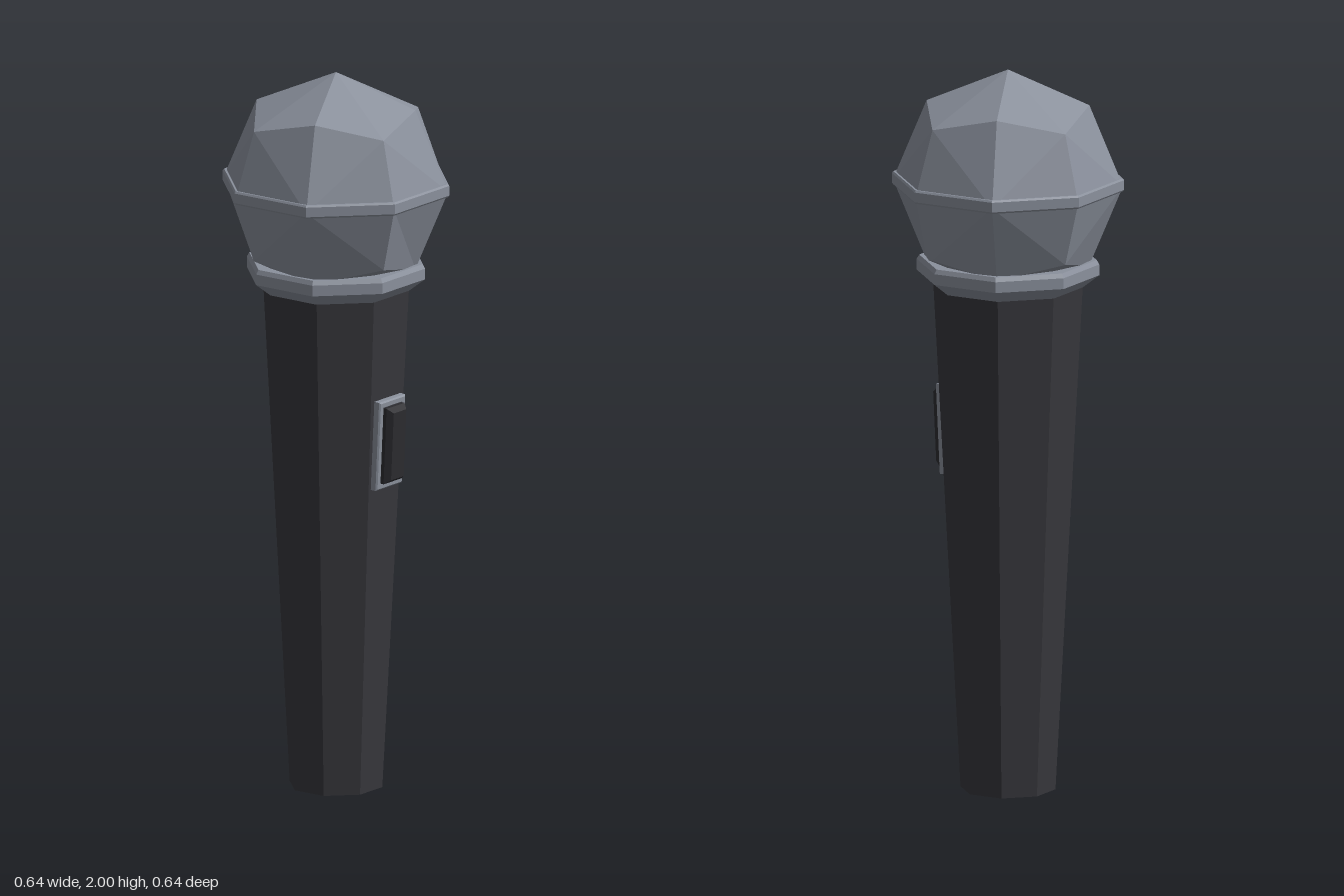
import * as THREE from 'three';

const mat = (color) => new THREE.MeshStandardMaterial({ color, flatShading: true });
const grille = mat(0x8b919d);
const dark = mat(0x37373c);
const black = mat(0x2c2c30);

function add(parent, name, geometry, material) {
  const mesh = new THREE.Mesh(geometry, material);
  mesh.name = name;
  parent.add(mesh);
  return mesh;
}

// Eight-sided turned part with corners on the axes
const turned = (points) =>
  new THREE.LatheGeometry(points.map(([r, y]) => new THREE.Vector2(r, y)), 8);

// Cube with 2 x 2 faces per side, blown up to a ball
function ballGeometry(radius) {
  const box = new THREE.BoxGeometry(1, 1, 1, 2, 2, 2);
  const p = box.attributes.position;
  const old = box.index.array;
  const zeros = (i) => [p.getX(i), p.getY(i), p.getZ(i)].filter((v) => Math.abs(v) < 0.01).length;
  const index = [];
  for (let q = 0; q < old.length; q += 6) {
    const [a, b, c, d] = [old[q], old[q + 1], old[q + 4], old[q + 2]];
    // Fold each quad from the cube corner to the side's centre,
    // but fold the lower +x quads the other way
    const cornerOnBD = zeros(b) === 0 || zeros(d) === 0;
    const corners = [a, b, c, d];
    const lowerX = corners.every((i) => p.getX(i) > 0.49) && corners.some((i) => p.getY(i) < -0.01);
    if (cornerOnBD !== lowerX) index.push(a, b, d, b, c, d);
    else index.push(a, b, c, a, c, d);
  }
  box.setIndex(index);
  const v = new THREE.Vector3();
  for (let i = 0; i < p.count; i++) {
    v.fromBufferAttribute(p, i).setLength(radius);
    p.setXYZ(i, v.x, v.y, v.z);
  }
  const ball = box.toNonIndexed();
  ball.computeVertexNormals();
  return ball;
}

function rectangle(PathType, w, h) {
  const path = new PathType();
  path.moveTo(-w / 2, -h / 2);
  path.lineTo(w / 2, -h / 2);
  path.lineTo(w / 2, h / 2);
  path.lineTo(-w / 2, h / 2);
  path.closePath();
  return path;
}

export function createModel() {
  const model = new THREE.Group();
  model.name = 'microphone';

  // Head
  add(model, 'headGrille', ballGeometry(0.315), grille).position.y = 1.685;
  add(model, 'headBand', turned([
    [0.28, 1.67], [0.314, 1.67], [0.318, 1.675], [0.318, 1.702], [0.314, 1.707], [0.28, 1.707],
  ]), grille);
  add(model, 'collar', turned([
    [0.15, 1.4], [0.205, 1.4], [0.25, 1.435], [0.25, 1.465], [0.243, 1.477], [0.2, 1.477],
  ]), grille);

  // Tapered handle
  const handle = new THREE.CylinderGeometry(0.205, 0.13, 1.41, 8);
  add(model, 'handle', handle, dark).position.y = 0.705;

  // Switch, set on the handle facet between +x and +z
  const facing = Math.PI * 3 / 8;
  const switchGroup = new THREE.Group();
  switchGroup.name = 'switch';
  switchGroup.rotation.set(0.049, facing, 0, 'YXZ');
  switchGroup.position.set(0.169 * Math.sin(facing), 0.99, 0.169 * Math.cos(facing));
  model.add(switchGroup);

  const frame = rectangle(THREE.Shape, 0.108, 0.242);
  frame.holes.push(rectangle(THREE.Path, 0.084, 0.218));
  const bevel = { bevelEnabled: true, bevelSegments: 1 };
  add(switchGroup, 'switchFrame', new THREE.ExtrudeGeometry(frame, {
    ...bevel, depth: 0.016, bevelSize: 0.004, bevelThickness: 0.004,
  }), grille);
  add(switchGroup, 'switchButton', new THREE.ExtrudeGeometry(rectangle(THREE.Shape, 0.056, 0.19), {
    ...bevel, depth: 0.012, bevelSize: 0.012, bevelThickness: 0.016,
  }), black).position.z = 0.017;
  // Plate behind the button
  add(switchGroup, 'switchPlate', new THREE.BoxGeometry(0.09, 0.224, 0.012), black).position.z = 0.002;

  return model;
}
